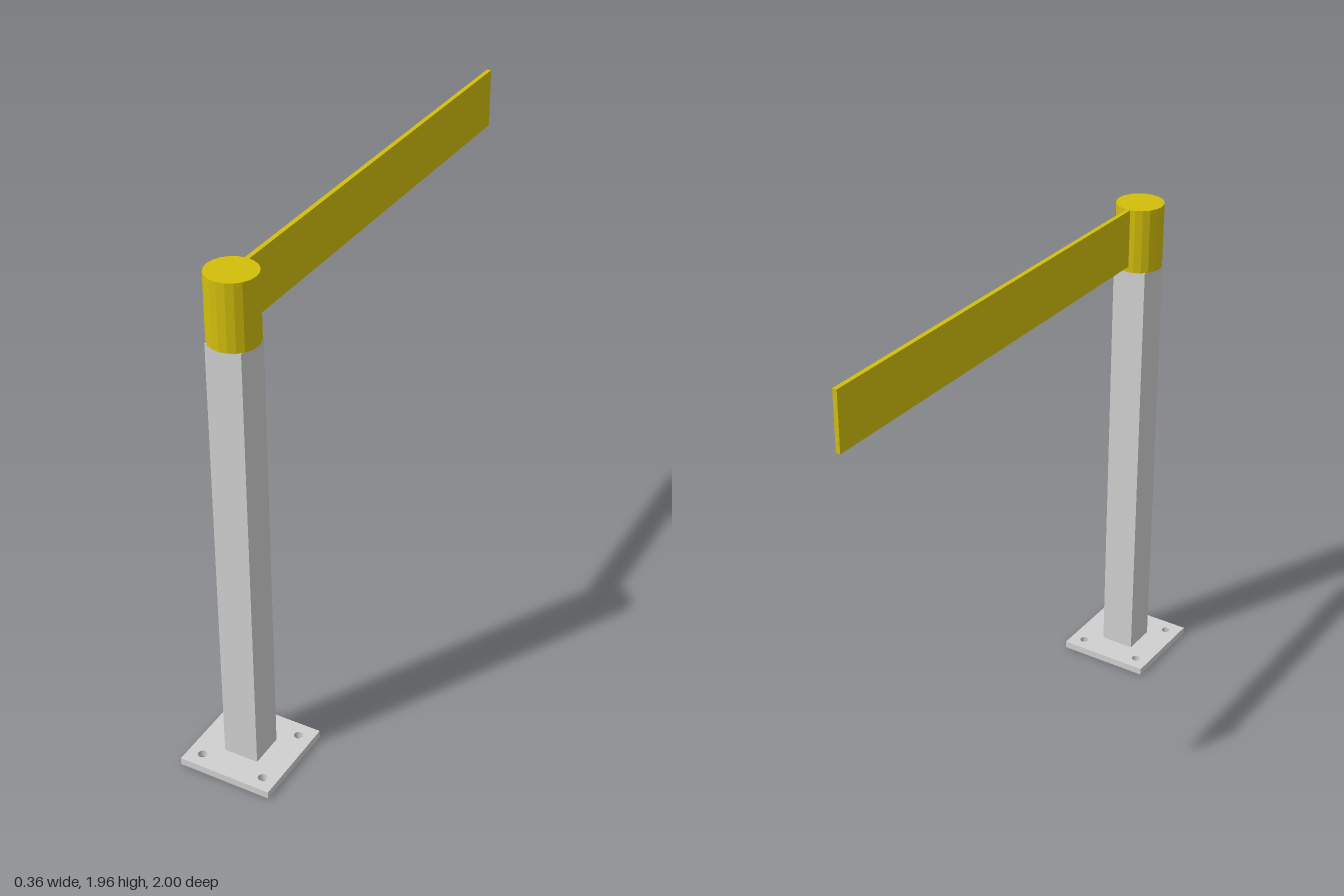
import * as THREE from 'three';

const POST_Z = 0.82;

export function createModel() {
  const group = new THREE.Group();
  const grey = new THREE.MeshStandardMaterial({ color: 0xd0d0d0 });
  grey.name = 'light grey';
  const yellow = new THREE.MeshStandardMaterial({ color: 0xd2be0c, flatShading: true });
  yellow.name = 'safety yellow';

  const add = (name, geometry, material, y, z) => {
    const mesh = new THREE.Mesh(geometry, material);
    mesh.name = name;
    mesh.position.set(0, y, z);
    group.add(mesh);
    return mesh;
  };

  // Square base plate with four bolt holes
  const half = 0.181;
  const plate = new THREE.Shape([
    new THREE.Vector2(-half, -half), new THREE.Vector2(half, -half),
    new THREE.Vector2(half, half), new THREE.Vector2(-half, half),
  ]);
  for (const x of [-0.125, 0.125]) {
    for (const y of [-0.125, 0.125]) {
      plate.holes.push(new THREE.Path().absarc(x, y, 0.017, 0, Math.PI * 2, true));
    }
  }
  const plateGeometry = new THREE.ExtrudeGeometry(plate, {
    depth: 0.028, bevelEnabled: false, curveSegments: 10,
  });
  plateGeometry.rotateX(-Math.PI / 2);
  add('basePlate', plateGeometry, grey, 0, POST_Z);

  // Square post
  add('post', new THREE.BoxGeometry(0.134, 1.682, 0.134), grey, 0.869, POST_Z);

  // Round pivot cap on the post
  add('pivotCap', new THREE.CylinderGeometry(0.09, 0.09, 0.245, 20), yellow, 1.8325, POST_Z);

  // Flat swing arm reaching backwards, ending just inside the cap
  add('swingArm', new THREE.BoxGeometry(0.017, 0.222, 1.74), yellow, 1.843, -0.13);

  return group;
}
